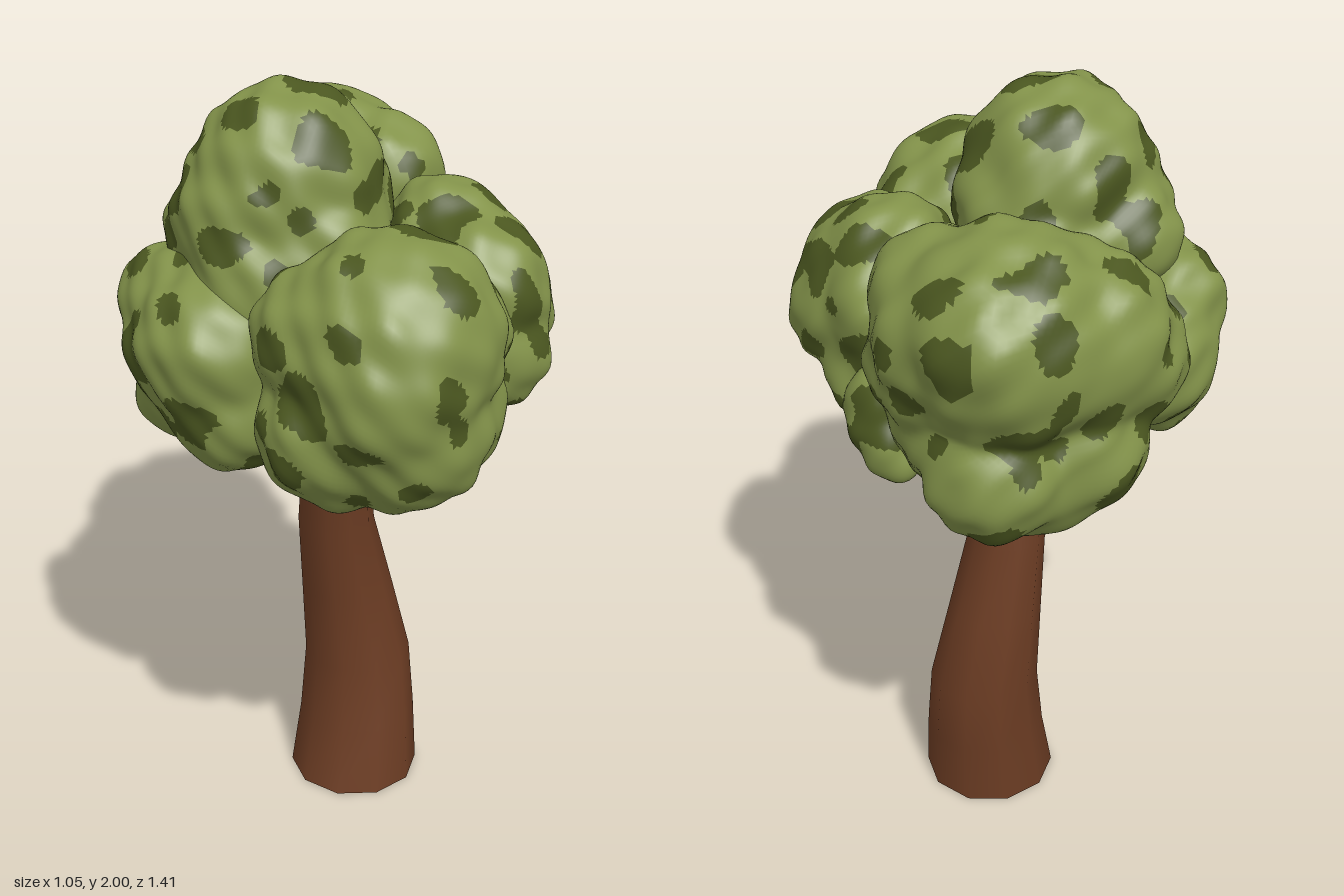
import * as THREE from 'three';
import { mergeVertices, toCreasedNormals } from 'three/addons/utils/BufferGeometryUtils.js';

const bark = new THREE.MeshStandardMaterial({ color: 0x6b3c23 });
const leaf = new THREE.MeshStandardMaterial({ color: 0x83934a });
const darkLeaf = new THREE.MeshStandardMaterial({ color: 0x4b5720 });
bark.name = 'bark';
leaf.name = 'leaf green';
darkLeaf.name = 'dark leaf green';

// Small seeded generator
let seed = 7;
const rand = () => {
  seed = (seed * 16807) % 2147483647;
  return seed / 2147483647;
};

// Each clump: centre, number of blotches, lobes as [x, y, z, radius]
const clumps = {
  frontFoliage: {
    centre: [-0.03, 1.4, 0.43], spots: 30,
    lobes: [
      [-0.02, 1.5, 0.44, 0.25], [0, 1.3, 0.48, 0.19], [-0.17, 1.3, 0.42, 0.16], [-0.12, 1.24, 0.4, 0.15],
      [0.09, 1.3, 0.4, 0.18], [-0.15, 1.5, 0.38, 0.17], [0.12, 1.48, 0.38, 0.16], [-0.06, 1.42, 0.51, 0.19],
      [0.05, 1.23, 0.4, 0.14],
    ],
  },
  leftSideFoliage: {
    centre: [-0.28, 1.36, -0.02], spots: 28,
    lobes: [
      [-0.3, 1.38, 0, 0.22], [-0.33, 1.4, 0.1, 0.18], [-0.28, 1.25, 0.1, 0.17], [-0.28, 1.35, -0.15, 0.19],
      [-0.15, 1.22, 0.05, 0.14], [-0.37, 1.45, -0.1, 0.14], [-0.35, 1.22, -0.08, 0.13], [-0.22, 1.5, 0, 0.18],
      [-0.12, 1.33, -0.15, 0.18],
    ],
  },
  rightSideFoliage: {
    centre: [0.3, 1.45, 0.11], spots: 28,
    lobes: [
      [0.29, 1.47, 0.12, 0.21], [0.37, 1.42, 0.13, 0.155], [0.3, 1.5, 0.2, 0.17], [0.28, 1.57, 0.05, 0.16],
      [0.32, 1.35, 0.23, 0.15], [0.28, 1.38, 0, 0.17], [0.33, 1.5, -0.04, 0.13], [0.3, 1.31, 0.1, 0.14],
      [0.36, 1.3, 0, 0.11],
    ],
  },
  smallTuft: {
    centre: [0.33, 1.24, -0.11], spots: 8, detail: 14,
    lobes: [
      [0.36, 1.23, -0.13, 0.09], [0.3, 1.18, -0.11, 0.085], [0.37, 1.31, -0.13, 0.075],
      [0.33, 1.33, -0.1, 0.09], [0.35, 1.18, -0.17, 0.07], [0.37, 1.25, -0.06, 0.07],
    ],
  },
  backFoliage: {
    centre: [0.1, 1.47, -0.42], spots: 40,
    lobes: [
      [0.15, 1.6, -0.45, 0.25], [0, 1.58, -0.45, 0.21], [-0.1, 1.5, -0.42, 0.17], [0.26, 1.5, -0.33, 0.18],
      [0.2, 1.35, -0.32, 0.19], [0.1, 1.26, -0.43, 0.17], [0.2, 1.3, -0.5, 0.16], [0, 1.32, -0.46, 0.17],
      [0.22, 1.65, -0.54, 0.16], [0.29, 1.6, -0.42, 0.15], [0.27, 1.65, -0.3, 0.15],
    ],
  },
  topFoliage: {
    centre: [-0.13, 1.66, 0.03], spots: 30,
    lobes: [
      [-0.12, 1.77, 0.03, 0.22], [-0.2, 1.68, 0.03, 0.19], [-0.02, 1.7, 0.02, 0.16], [-0.2, 1.55, 0.1, 0.17],
      [-0.05, 1.58, -0.05, 0.19], [-0.08, 1.62, 0.11, 0.18], [-0.25, 1.62, -0.08, 0.14],
    ],
  },
};

// Distance to the softly blended lobes
function lobeDistance(p, lobes) {
  const k = 0.012;
  let sum = 0;
  for (const [x, y, z, r] of lobes) {
    sum += Math.exp(-(Math.hypot(p.x - x, p.y - y, p.z - z) - r) / k);
  }
  return -k * Math.log(sum + 1e-40);
}

// Walk inwards along a direction until the leaf surface is met
function surfacePoint(dir, centre, lobes) {
  const p = new THREE.Vector3();
  let t = 0.6;
  for (let i = 0; i < 45; i++) {
    const d = lobeDistance(p.copy(centre).addScaledVector(dir, t), lobes);
    t = Math.max(0.02, t - d);
    if (Math.abs(d) < 1e-4) break;
  }
  const bump = Math.sin(p.x * 31 + p.y * 17) * Math.sin(p.y * 29 + p.z * 13) * Math.sin(p.z * 33 + p.x * 9);
  return p.copy(centre).addScaledVector(dir, t + bump * 0.012);
}

function makeClump(name, { centre, lobes, spots, detail = 25 }) {
  const c = new THREE.Vector3(...centre);
  let geo = new THREE.IcosahedronGeometry(1, detail);
  geo.deleteAttribute('uv');
  geo.deleteAttribute('normal');
  geo = mergeVertices(geo, 1e-5);
  const pos = geo.attributes.position;
  const v = new THREE.Vector3();
  for (let i = 0; i < pos.count; i++) {
    const p = surfacePoint(v.fromBufferAttribute(pos, i).normalize(), c, lobes);
    pos.setXYZ(i, p.x, p.y, p.z);
  }
  geo.computeVertexNormals();

  // Blotches scattered evenly around the clump
  const blotches = [];
  for (let i = 0; i < spots; i++) {
    const y = 1 - (2 * (i + 0.5)) / spots;
    const a = i * 2.39996 + rand() * 0.6;
    const s = Math.sqrt(1 - y * y);
    const dir = new THREE.Vector3(s * Math.cos(a), y, s * Math.sin(a));
    blotches.push({ p: surfacePoint(dir, c, lobes), r: 0.025 + rand() * 0.045 });
  }
  const isDark = (p) => {
    const warp = 0.011 * (Math.sin(p.x * 47 + p.y * 21) + Math.sin(p.y * 53 + p.z * 25) + Math.sin(p.z * 43 - p.x * 31));
    return blotches.some((b) => b.p.distanceTo(p) + warp < b.r);
  };

  // Sort faces into plain and dark groups
  const plain = [], dark = [], idx = geo.index.array, mid = new THREE.Vector3();
  for (let i = 0; i < idx.length; i += 3) {
    mid.set(0, 0, 0);
    for (let j = 0; j < 3; j++) mid.add(v.fromBufferAttribute(pos, idx[i + j]));
    (isDark(mid.divideScalar(3)) ? dark : plain).push(idx[i], idx[i + 1], idx[i + 2]);
  }
  geo.setIndex(plain.concat(dark));
  geo.addGroup(0, plain.length, 0);
  geo.addGroup(plain.length, dark.length, 1);
  const mesh = new THREE.Mesh(geo, [leaf, darkLeaf]);
  mesh.name = name;
  return mesh;
}

// Bent, tapering limb through rings of [x, y, z, radiusX, radiusZ], bottom first
function makeLimb(name, rings, sides = 9) {
  const n = rings.length - 1;
  const geo = new THREE.CylinderGeometry(1, 1, 1, sides, n);
  const pos = geo.attributes.position;
  for (let i = 0; i < pos.count; i++) {
    const [x, y, z, rx, rz] = rings[Math.round((pos.getY(i) + 0.5) * n)];
    pos.setXYZ(i, x + pos.getX(i) * rx, y, z + pos.getZ(i) * rz);
  }
  const mesh = new THREE.Mesh(toCreasedNormals(geo, 1), bark);
  mesh.name = name;
  return mesh;
}

export function createModel() {
  const tree = new THREE.Group();
  tree.name = 'tree';

  tree.add(
    makeLimb('trunk', [
      [0.08, 0, -0.025, 0.178, 0.178], [0.097, 0.18, -0.045, 0.16, 0.16], [0.103, 0.36, -0.062, 0.145, 0.145],
      [0.068, 0.58, -0.055, 0.123, 0.123], [0.028, 0.8, -0.035, 0.1, 0.108], [0.02, 0.95, -0.015, 0.09, 0.103],
      [0.01, 1.1, 0.01, 0.085, 0.095], [-0.02, 1.3, 0.02, 0.07, 0.07], [-0.08, 1.5, 0.03, 0.05, 0.05],
    ], 10),
    makeLimb('backBranch', [
      [0.03, 0.84, -0.055, 0.06, 0.08], [0.045, 0.96, -0.095, 0.07, 0.075],
      [0.07, 1.12, -0.2, 0.065, 0.075], [0.1, 1.3, -0.32, 0.05, 0.06],
    ]),
    makeLimb('frontBranch', [
      [0.01, 0.98, 0.03, 0.06, 0.07], [0, 1.1, 0.11, 0.06, 0.06],
      [-0.01, 1.2, 0.21, 0.05, 0.055], [-0.02, 1.32, 0.32, 0.04, 0.045],
    ]),
    makeLimb('leftBranch', [
      [0, 1.02, 0, 0.06, 0.06], [-0.08, 1.15, 0, 0.055, 0.05], [-0.2, 1.28, 0, 0.045, 0.04],
    ]),
    makeLimb('rightBranch', [
      [0.04, 1.04, 0.02, 0.06, 0.05], [0.11, 1.14, 0.05, 0.05, 0.045], [0.24, 1.34, 0.1, 0.04, 0.04],
    ]),
  );

  for (const [name, spec] of Object.entries(clumps)) tree.add(makeClump(name, spec));
  return tree;
}
